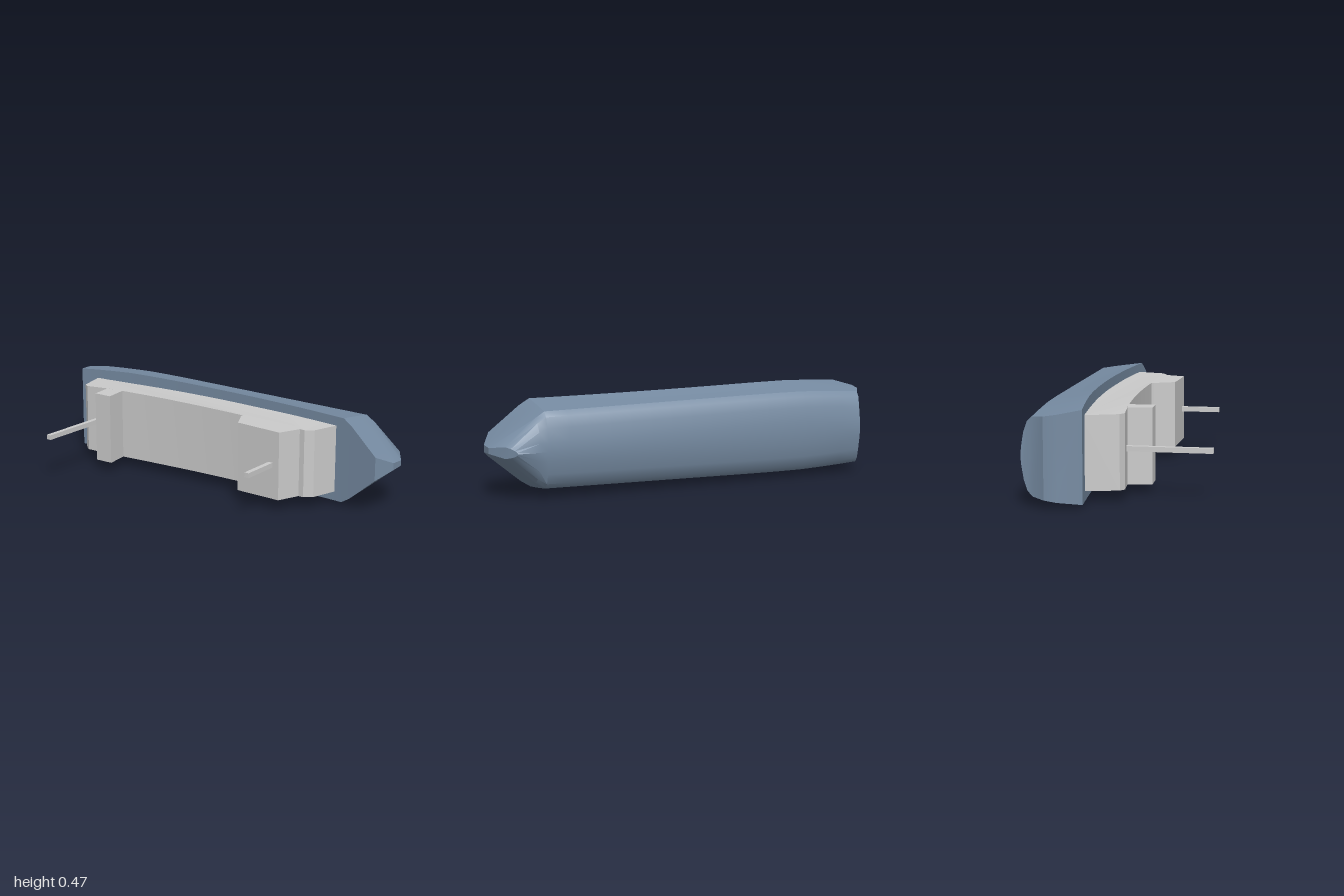
import * as THREE from 'three';
import { toCreasedNormals } from 'three/addons/utils/BufferGeometryUtils.js';

const MID = 0.242; // height of the ship's centre line (it lies on its side)
const grey = new THREE.MeshStandardMaterial({ color: 0xcccccc });
const blue = new THREE.MeshStandardMaterial({ color: 0x768ba2 });

// Piecewise linear lookup in a list of [x, value]
function lookup(table, x) {
  if (x <= table[0][0]) return table[0][1];
  for (let i = 1; i < table.length; i++) {
    const [x0, v0] = table[i - 1], [x1, v1] = table[i];
    if (x <= x1) return v0 + (v1 - v0) * (x - x0) / (x1 - x0);
  }
  return table[table.length - 1][1];
}

const beam = [[-1, 0.216], [-0.8, 0.229], [-0.62, 0.236], [-0.4, 0.235], [0.75, 0.218]];
const houseBeam = [[-0.85, 0.178], [-0.62, 0.185], [-0.3, 0.184], [0.7, 0.172]];
const sheer = (x) => -0.19 + (x < -0.05 ? 0.062 : 0.07) * (x + 0.05) ** 2;

// Hull rows from deck edge to keel: level, width lost, stern x, and bow end x, level, half width
const rows = [
  { z: 0, inset: 0, stern: -0.95, bow: [0.95, -0.117, 0.06] },
  { z: -0.25, inset: 0.014, stern: -1, bow: [1, -0.21, 0.018] },
  { z: -0.31, inset: 0.023, stern: -1, bow: [1, -0.285, 0.014] },
  { z: -0.37, inset: 0.033, stern: -0.96, bow: [0.945, -0.37, 0.028] },
  { z: -0.395, inset: 0.058, stern: -0.955, bow: [0.925, -0.395, 0.022] },
  { z: -0.413, inset: 0.108, stern: -0.95, bow: [0.91, -0.413, 0.014] },
  { z: -0.424, inset: 0.175, stern: -0.95, bow: [0.902, -0.424, 0.007] },
  { z: -0.428, inset: 1, stern: -0.95, bow: [0.9, -0.428, 0] },
];

function hullPoint(row, k, r, main) {
  const lerp = THREE.MathUtils.lerp;
  const t = Math.min(k / main, 1);
  const x = lerp(row.stern, 0.75, t);
  const z = r === 0 ? sheer(x) : row.z;
  const half = Math.max(0, lookup(beam, x) - row.inset);
  if (k <= main) return [x, half, z];
  // Bow: a nearly flat wedge with slightly full shoulders
  const s = k === main + 1 ? 0.25 : 1;
  const full = s < 1 && half > 0 ? 0.008 : 0;
  return [lerp(x, row.bow[0], s), lerp(half, row.bow[2], s) + full, lerp(z, row.bow[1], s)];
}

function hullGeometry() {
  const main = 16, stations = main + 3, R = rows.length, N = 2 * R - 1;
  const pos = [], index = [];
  for (let k = 0; k < stations; k++) {
    for (let j = 0; j < N; j++) {
      const r = j < R ? j : N - 1 - j;
      const [x, half, z] = hullPoint(rows[r], k, r, main);
      pos.push(x, MID + (j < R ? half : -half), z);
    }
  }
  const quad = (a, b, c, d) => index.push(a, b, c, b, d, c);
  // Sides, bottom and deck
  for (let k = 0; k < stations - 1; k++) {
    for (let j = 0; j < N; j++) {
      const n = (j + 1) % N;
      quad(k * N + j, (k + 1) * N + j, k * N + n, (k + 1) * N + n);
    }
  }
  // Transom and stem
  const end = (stations - 1) * N;
  for (let j = 0; j < R - 1; j++) {
    const m = N - 1 - j;
    quad(m, j, m - 1, j + 1);
    quad(end + j, end + m, end + j + 1, end + m - 1);
  }
  const g = new THREE.BufferGeometry();
  g.setAttribute('position', new THREE.Float32BufferAttribute(pos, 3));
  g.setIndex(index);
  return toCreasedNormals(g.toNonIndexed(), 0.45);
}

// Extrude a side outline (x, z) across the ship, following the taper of the beam
function houseGeometry(outline) {
  const shape = new THREE.Shape(outline.map(([x, z]) => new THREE.Vector2(x, z)));
  const g = new THREE.ExtrudeGeometry(shape, { depth: 1, bevelEnabled: false });
  g.rotateX(Math.PI / 2);
  const p = g.attributes.position;
  for (let i = 0; i < p.count; i++) {
    const half = lookup(houseBeam, p.getX(i));
    p.setY(i, MID + (p.getY(i) > -0.5 ? half : -half));
  }
  return toCreasedNormals(g, 0.3);
}

export function createModel() {
  const ship = new THREE.Group();
  ship.name = 'ship';
  const add = (name, geometry, material) => {
    const mesh = new THREE.Mesh(geometry, material);
    mesh.name = name;
    ship.add(mesh);
    return mesh;
  };

  add('hull', hullGeometry(), blue);

  // Long deckhouse whose roof follows the curve of the deck
  const roof = [];
  for (let i = 0; i <= 10; i++) {
    const x = 0.56 - 1.18 * i / 10;
    roof.push([x, -0.014 + 0.07 * (x + 0.02) ** 2]);
  }
  const floor = [];
  for (let i = 0; i <= 10; i++) {
    const x = -0.85 + 1.56 * i / 10;
    floor.push([x, sheer(x) - 0.015]);
  }
  add('deckhouse', houseGeometry([
    ...floor, [0.665, -0.015], [0.625, 0.015], ...roof, [-0.77, 0.025], [-0.8, 0.005],
  ]), grey);

  // Raised houses on the roof
  add('aftHouse', houseGeometry([[-0.64, 0], [-0.54, 0], [-0.52, 0.13], [-0.62, 0.13]]), grey);
  add('bridge', houseGeometry([[0.24, -0.02], [0.605, -0.01], [0.59, 0.03], [0.55, 0.125], [0.295, 0.11], [0.24, 0.005]]), grey);

  // Square masts
  for (const [name, x, z0, z1] of [['aftMast', -0.69, 0, 0.428], ['foreMast', 0.5, 0.1, 0.328]]) {
    add(name, new THREE.BoxGeometry(0.025, 0.025, z1 - z0), grey).position.set(x, MID, (z0 + z1) / 2);
  }
  return ship;
}
